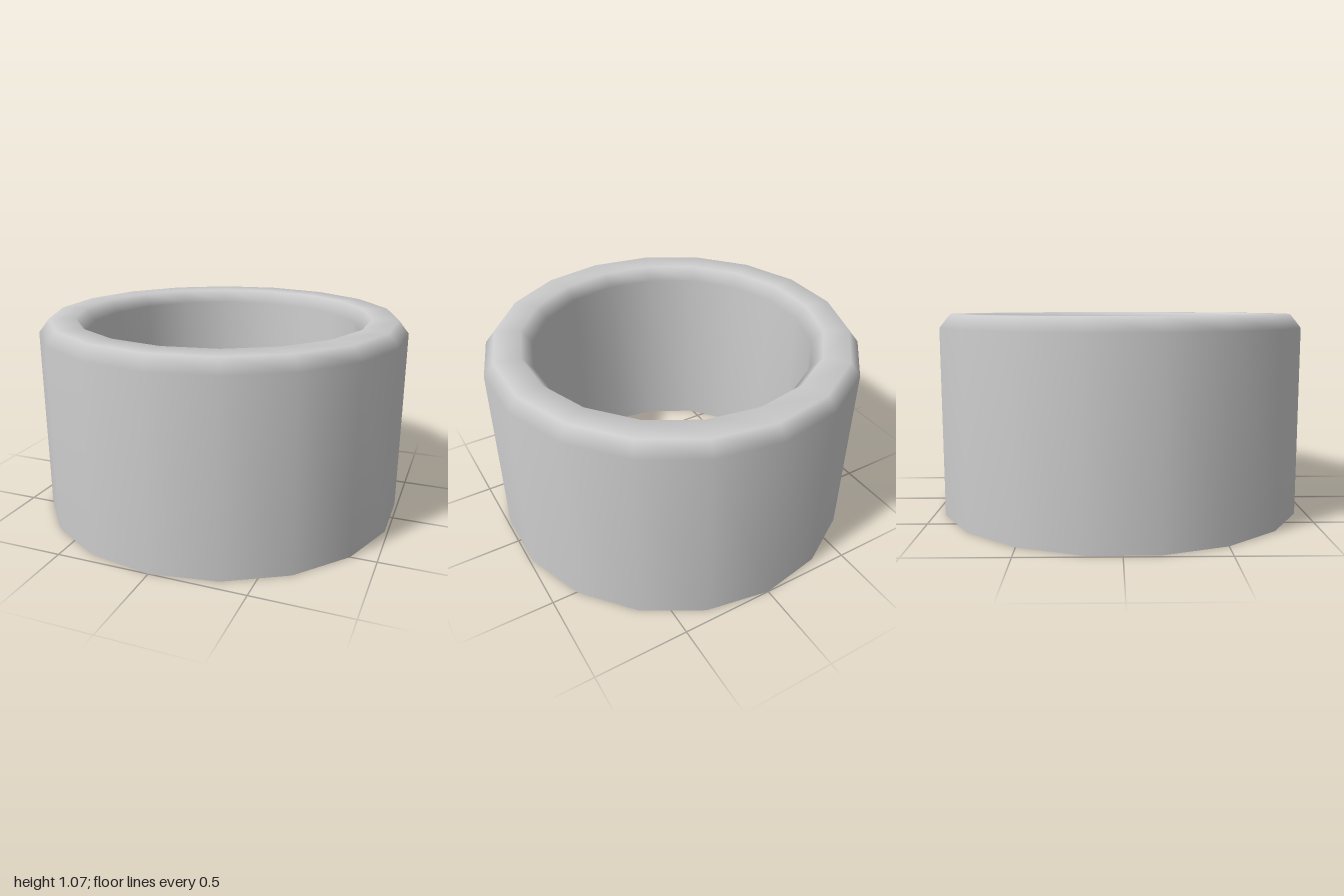
import * as THREE from 'three';

export function createModel() {
  const group = new THREE.Group();
  group.name = 'hollowRing';

  const material = new THREE.MeshStandardMaterial({ color: 0xcccccc, side: THREE.DoubleSide });

  // Cross-section: outer wall, bevelled rim, inner wall; open underneath
  const profile = [
    [1, 0], [1, 1], [0.945, 1.07], [0.805, 1.07], [0.75, 1], [0.75, 0],
  ].map(([r, y]) => new THREE.Vector2(r, y));

  // Eighteen sides, with corners at the front and back
  const shell = new THREE.Mesh(new THREE.LatheGeometry(profile, 18), material);
  shell.name = 'ringShell';
  group.add(shell);

  return group;
}
